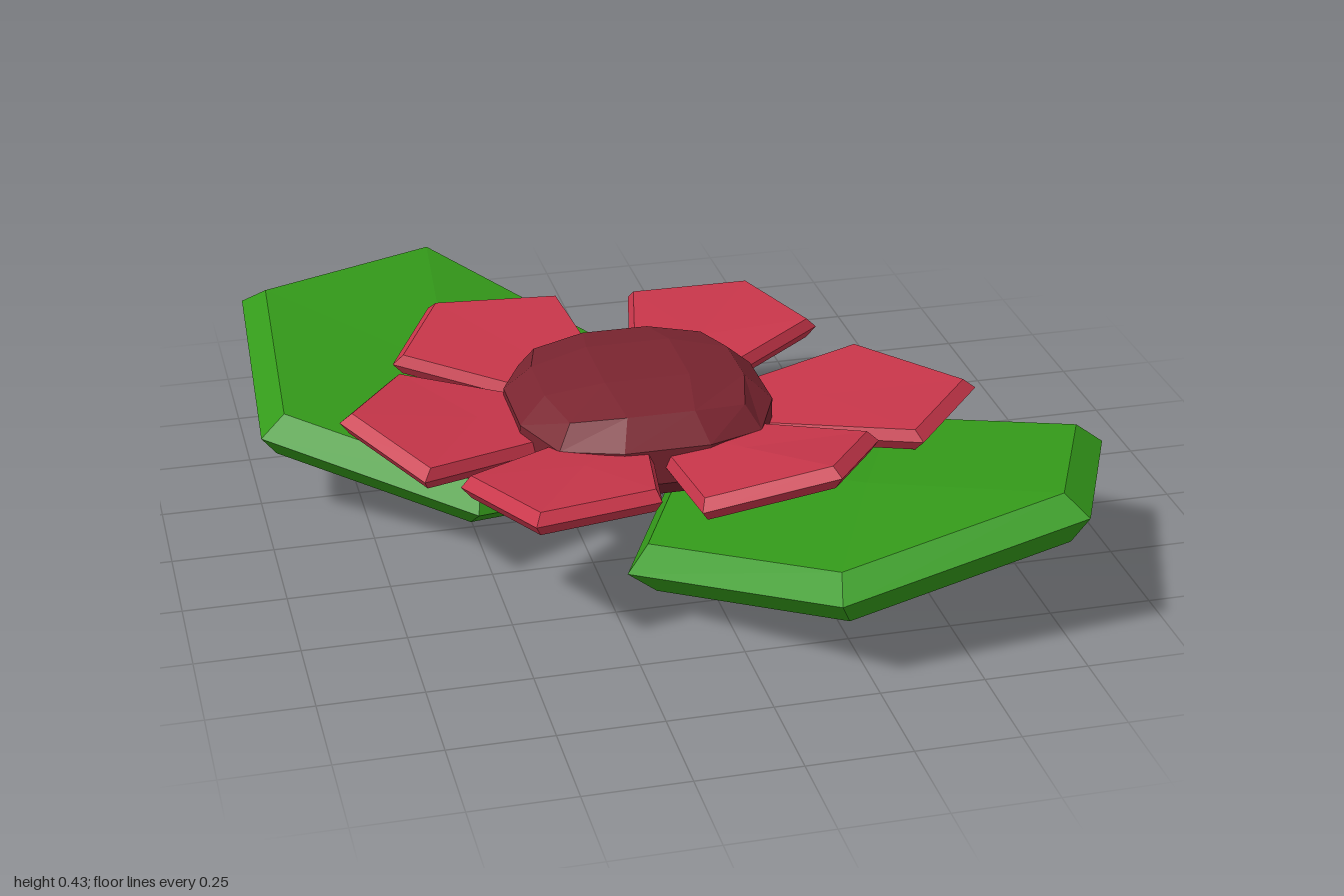
import * as THREE from 'three';

const V = (p) => new THREE.Vector3(...p);
const paint = (color) => new THREE.MeshStandardMaterial({ color, flatShading: true });

// Bevelled slab: a widest outline (counterclockwise from above) between an inset top and bottom
function slab(name, corners, inset, halfThickness, material) {
  const rim = corners.map(V), n = rim.length;
  const centre = rim.reduce((sum, p) => sum.add(p), V([0, 0, 0])).divideScalar(n);
  const normal = V([0, 0, 0]);
  rim.forEach((p, i) => normal.add(
    p.clone().sub(centre).cross(rim[(i + 1) % n].clone().sub(centre))));
  normal.normalize().multiplyScalar(halfThickness);

  const top = rim.map((p) => p.clone().lerp(centre, inset).add(normal));
  const bottom = rim.map((p) => p.clone().lerp(centre, inset).sub(normal));
  const topMid = centre.clone().add(normal), bottomMid = centre.clone().sub(normal);
  const points = [];
  for (let i = 0; i < n; i++) {
    const j = (i + 1) % n;
    points.push(topMid, top[i], top[j], bottomMid, bottom[j], bottom[i]);
    for (const [lo, hi] of [[rim, top], [bottom, rim]]) {
      points.push(lo[i], lo[j], hi[j], lo[i], hi[j], hi[i]);
    }
  }
  const geometry = new THREE.BufferGeometry().setFromPoints(points);
  geometry.computeVertexNormals();
  const mesh = new THREE.Mesh(geometry, material);
  mesh.name = name;
  return mesh;
}

export function createModel() {
  const model = new THREE.Group();
  model.name = 'flower';
  const green = paint(0x349a1a), red = paint(0xc8364a), darkRed = paint(0x7a2530);

  // Two tilted hexagonal leaves
  model.add(slab('frontLeaf', [
    [0.62, 0.115, -0.04], [0, 0.09, 0.03], [-0.23, 0.125, 0.54],
    [0.16, 0.23, 0.985], [0.76, 0.35, 0.93], [0.99, 0.27, 0.42],
  ], 0.1, 0.06, green));
  model.add(slab('backLeaf', [
    [-1, 0.24, -0.14], [-0.52, 0.14, 0.2], [-0.04, 0.045, -0.04],
    [0.005, 0.13, -0.64], [-0.455, 0.33, -0.99], [-0.97, 0.345, -0.75],
  ], 0.1, 0.06, green));

  // Six petals: three outer corners each, narrowing to a blunt end under the centre
  const heart = V([-0.085, 0.25, 0.03]);
  const petals = new THREE.Group();
  petals.name = 'petals';
  [
    [[0.56, 0.275, 0.335], [0.78, 0.28, 0.08], [0.56, 0.275, -0.22]],
    [[0.48, 0.3, -0.33], [0.38, 0.3, -0.63], [0.04, 0.31, -0.61]],
    [[-0.155, 0.33, -0.59], [-0.5, 0.34, -0.6], [-0.64, 0.32, -0.32]],
    [[-0.66, 0.33, -0.21], [-0.83, 0.365, 0.07], [-0.67, 0.32, 0.34]],
    [[-0.6, 0.345, 0.43], [-0.48, 0.375, 0.72], [-0.17, 0.36, 0.64]],
    [[-0.08, 0.33, 0.66], [0.24, 0.4, 0.7], [0.42, 0.335, 0.41]],
  ].forEach((outer, i) => {
    const across = V(outer[2]).sub(V(outer[0])).setY(0).normalize().multiplyScalar(0.05);
    const root = heart.clone().lerp(V(outer[1]), 0.1);
    const inner = [root.clone().add(across), root.clone().sub(across)];
    petals.add(slab(`petal${i + 1}`, [...outer, ...inner.map((p) => p.toArray())],
      0.08, 0.027, red));
  });
  model.add(petals);

  // Flattened rounded cube as the flower centre
  const hub = new THREE.BoxGeometry(2, 2, 2, 3, 3, 3);
  const position = hub.attributes.position, p = V([0, 0, 0]);
  for (let i = 0; i < position.count; i++) {
    p.fromBufferAttribute(position, i);
    const length = p.toArray().reduce((s, c) => s + Math.abs(c) ** 2.6, 0) ** (1 / 2.6);
    p.divideScalar(length);
    position.setXYZ(i, p.x * 0.33, p.y * 0.141, p.z * 0.33);
  }
  hub.computeVertexNormals();
  const centre = new THREE.Mesh(hub, darkRed);
  centre.name = 'flowerCentre';
  centre.position.set(-0.085, 0.295, 0.03);
  model.add(centre);

  return model;
}
